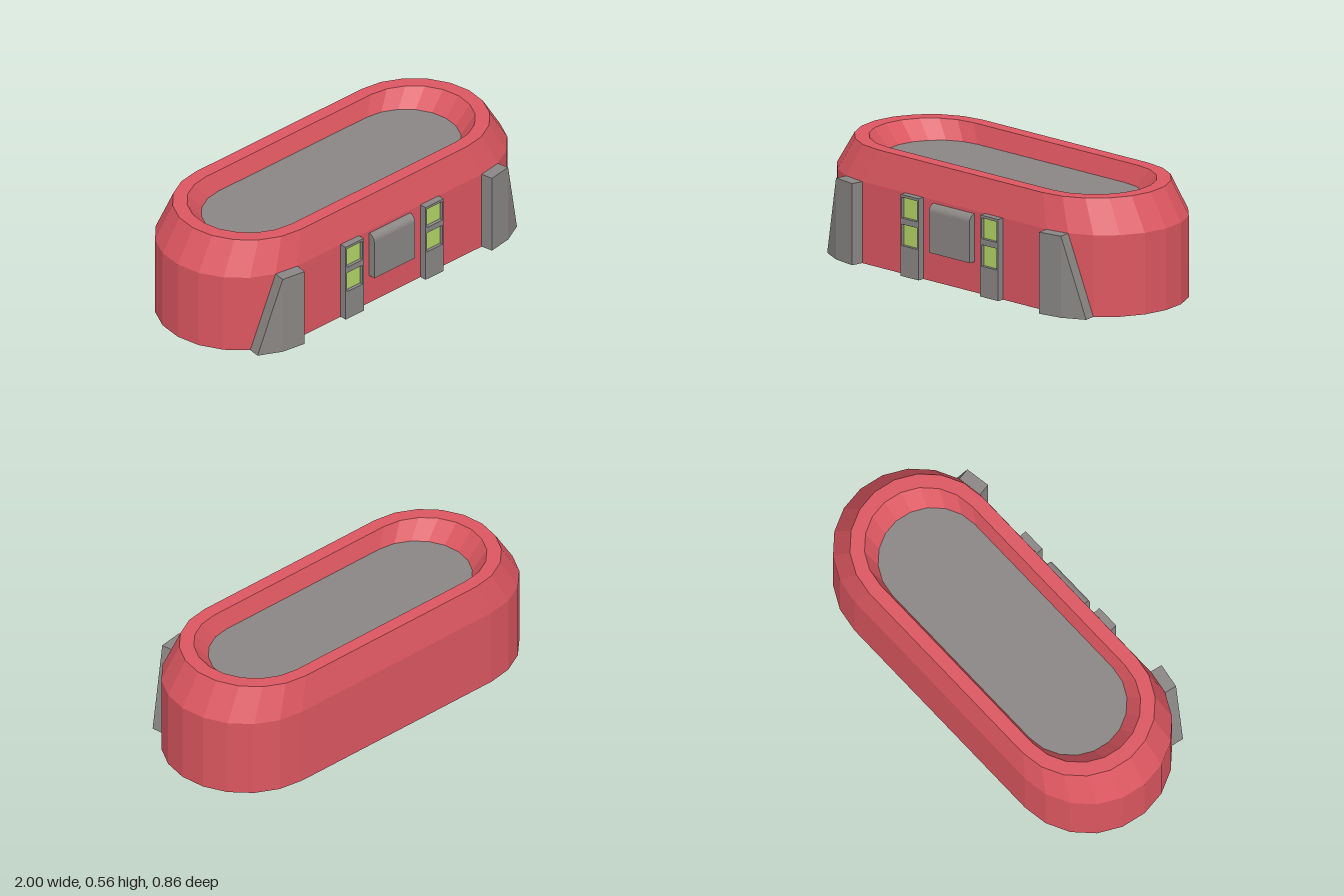
import * as THREE from 'three';

const red = new THREE.MeshStandardMaterial({ name: 'red shell', color: 0xdb5660, flatShading: true });
const grey = new THREE.MeshStandardMaterial({ name: 'grey metal', color: 0x898684, flatShading: true });
const green = new THREE.MeshStandardMaterial({ name: 'green light', color: 0xb2d466, flatShading: true });

const CZ = -0.03; // depth centre of the shell

// Stadium outline: two ten-sided half circles joined by straight sides
function stadium(half, r) {
  const pts = [];
  for (const side of [1, -1]) {
    for (let i = 0; i <= 10; i++) {
      const a = -Math.PI / 2 + (i * Math.PI) / 10;
      pts.push(new THREE.Vector2(side * (half + r * Math.cos(a)), side * r * Math.sin(a)));
    }
  }
  return pts;
}

// Joins stadium rings [half straight length, radius, height] into a skin
function loft(rings) {
  const pos = [], index = [], n = 22;
  for (const [half, r, y] of rings) {
    for (const p of stadium(half, r)) pos.push(p.x, y, CZ - p.y);
  }
  for (let k = 0; k < rings.length - 1; k++) {
    for (let i = 0; i < n; i++) {
      const a = k * n + i, b = k * n + ((i + 1) % n);
      index.push(a, b, b + n, a, b + n, a + n);
    }
  }
  const g = new THREE.BufferGeometry();
  g.setAttribute('position', new THREE.Float32BufferAttribute(pos, 3));
  g.setIndex(index);
  g.computeVertexNormals();
  return g;
}

function cap(half, r, y, up) {
  const g = new THREE.ShapeGeometry(new THREE.Shape(stadium(half, r)));
  return g.rotateX(up ? -Math.PI / 2 : Math.PI / 2).translate(0, y, CZ);
}

// Buttress wrapped round two facets of the shell, its outer end sloping in
function buttressGeometry(side) {
  const path = [[0.6, 0.37], [0.724, 0.35], [0.835, 0.294]];
  const g = new THREE.BoxGeometry(1, 1, 1, 2, 1, 1);
  const p = g.attributes.position;
  for (let i = 0; i < p.count; i++) {
    const top = p.getY(i) > 0, front = p.getZ(i) > 0;
    let col = Math.round((side * p.getX(i) + 0.5) * 2);
    if (top) col = Math.min(col, 1);
    const [x, z] = path[col];
    p.setXYZ(i, side * (x + (front ? 0.01 : 0)), top ? 0.4 : 0, z + (front ? 0.06 : 0));
  }
  g.computeVertexNormals();
  return g;
}

function rect(PathType, x0, y0, x1, y1) {
  return new PathType([[x0, y0], [x1, y0], [x1, y1], [x0, y1]].map(([x, y]) => new THREE.Vector2(x, y)));
}

export function createModel() {
  const model = new THREE.Group();
  const add = (name, geometry, material, parent = model) => {
    const mesh = new THREE.Mesh(geometry, material);
    mesh.name = name;
    parent.add(mesh);
    return mesh;
  };

  // Shell: upright wall, sloped shoulder, flat rim and recess wall
  add('shell', loft([
    [0.6, 0.4, 0], [0.6, 0.4, 0.4], [0.54, 0.36, 0.56], [0.537, 0.293, 0.56], [0.484, 0.264, 0.47],
  ]), red);
  add('underside', cap(0.6, 0.4, 0, false), red);
  add('roofFloor', cap(0.484, 0.264, 0.47, true), grey);

  for (const side of [1, -1]) {
    const label = side > 0 ? 'left' : 'right';
    add(label + 'Buttress', buttressGeometry(side), grey);

    // Light pillar with two recessed windows
    const pillar = new THREE.Group();
    pillar.name = label + 'LightPillar';
    pillar.position.x = side * 0.26;
    model.add(pillar);
    const face = rect(THREE.Shape, -0.059, 0, 0.059, 0.4);
    for (const [y0, y1] of [[0.15, 0.255], [0.285, 0.387]]) {
      face.holes.push(rect(THREE.Path, -0.05, y0, 0.05, y1));
      const light = add('light', new THREE.BoxGeometry(0.1, y1 - y0, 0.008), green, pillar);
      light.position.set(0, (y0 + y1) / 2, 0.384);
    }
    const frame = new THREE.ExtrudeGeometry(face, { depth: 0.045, bevelEnabled: false });
    add('pillarFrame', frame.translate(0, 0, 0.36), grey, pillar);
  }

  // Central hatch with a rounded upper front edge
  const profile = new THREE.Shape();
  profile.moveTo(-0.36, 0.15);
  profile.lineTo(-0.405, 0.15);
  profile.lineTo(-0.405, 0.35);
  profile.absarc(-0.37, 0.35, 0.035, Math.PI, Math.PI / 2, true);
  profile.lineTo(-0.36, 0.385);
  const hatch = new THREE.ExtrudeGeometry(profile, { depth: 0.266, bevelEnabled: false, curveSegments: 5 });
  add('hatch', hatch.translate(0, 0, -0.133).rotateY(Math.PI / 2), grey);
  // Profile x becomes -z after the turn, so the rounded edge faces forward

  return model;
}
